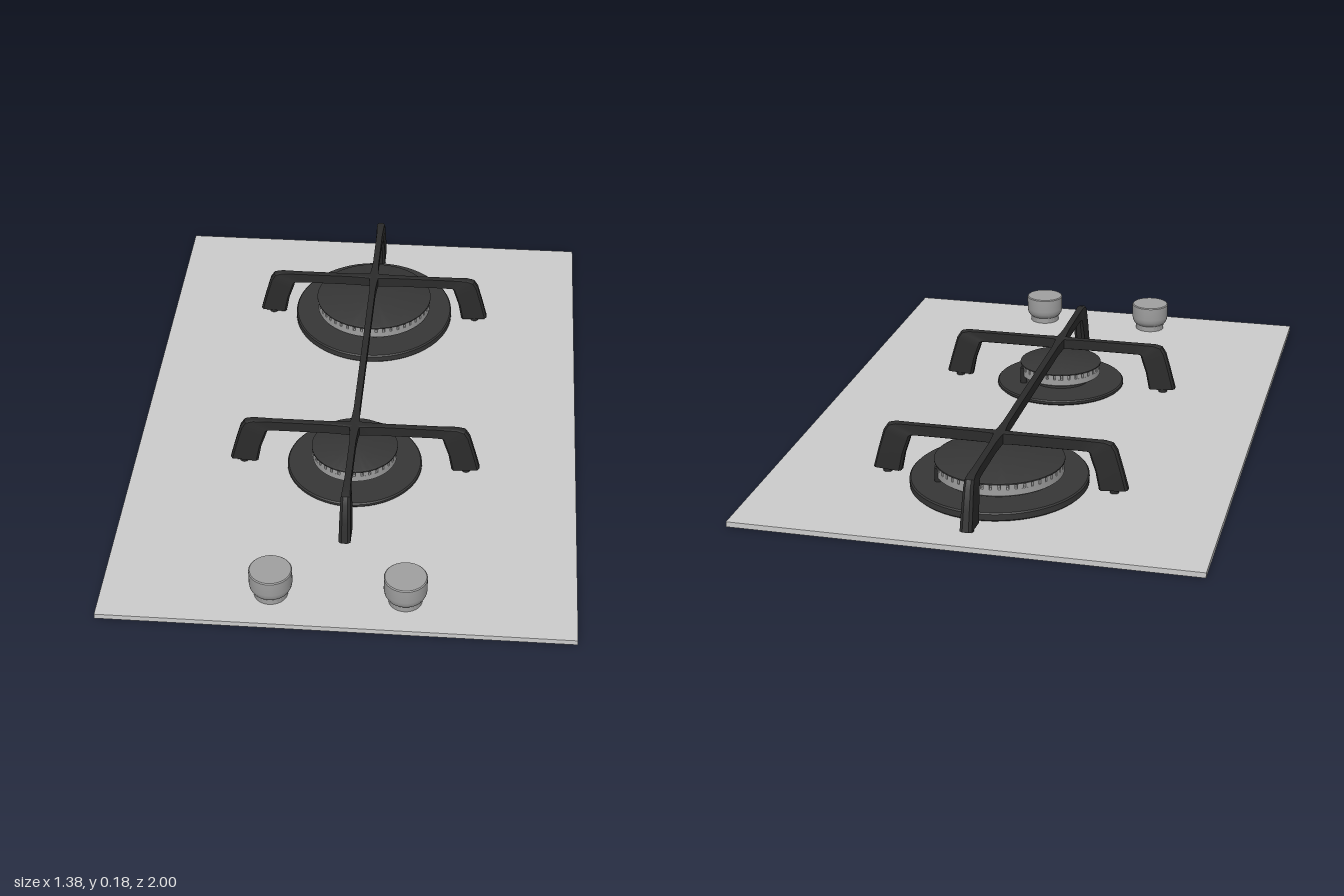
import * as THREE from 'three';
import { toCreasedNormals } from 'three/addons/utils/BufferGeometryUtils.js';

const mat = (color) => new THREE.MeshStandardMaterial({ color });
const steel = mat(0xcccccc), satin = mat(0xa0a0a0), black = mat(0x363636), iron = mat(0x2b2b2b);

function add(parent, name, geometry, material, x = 0, y = 0, z = 0) {
  const mesh = new THREE.Mesh(geometry, material);
  mesh.name = name;
  mesh.position.set(x, y, z);
  parent.add(mesh);
  return mesh;
}

function turned(points, segments = 64) {
  const profile = points.map(([r, y]) => new THREE.Vector2(r, y));
  return toCreasedNormals(new THREE.LatheGeometry(profile, segments), 0.6);
}

// Chamfered bar lofted along +x; station = [outer x, outer y, inner x, inner y, half width]
const SECTION = [[1, -0.5], [1, 0.5], [0.85, 1], [-0.85, 1], [-1, 0.5], [-1, -0.5], [-0.85, -1], [0.85, -1]];
function loftBar(stations) {
  const pos = [], idx = [], n = SECTION.length;
  for (const [ox, oy, ix, iy, w] of stations) {
    for (const [u, v] of SECTION) {
      pos.push((ox + ix) / 2 + u * (ox - ix) / 2, (oy + iy) / 2 + u * (oy - iy) / 2, v * w);
    }
  }
  for (let i = 0; i < stations.length - 1; i++) {
    for (let j = 0; j < n; j++) {
      const k = (j + 1) % n, a = i * n + j, b = i * n + k;
      idx.push(a, b, b + n, a, b + n, a + n);
    }
  }
  const last = (stations.length - 1) * n;
  for (let j = 1; j < n - 1; j++) {
    idx.push(last, last + j, last + j + 1, 0, j + 1, j);
  }
  const g = new THREE.BufferGeometry();
  g.setAttribute('position', new THREE.Float32BufferAttribute(pos, 3));
  g.setIndex(idx);
  return toCreasedNormals(g, 0.6);
}

// Toothed flame ring
function toothedRing(r, teeth, height) {
  const shape = new THREE.Shape();
  const step = Math.PI * 2 / teeth;
  for (let i = 0; i < teeth; i++) {
    [[0, r], [0.7, r], [0.72, r * 0.92], [0.98, r * 0.92]].forEach(([f, rad], k) => {
      const a = (i + f) * step;
      shape[i + k === 0 ? 'moveTo' : 'lineTo'](rad * Math.cos(a), rad * Math.sin(a));
    });
  }
  shape.closePath();
  const g = new THREE.ExtrudeGeometry(shape, { depth: height, bevelEnabled: false });
  return g.rotateX(-Math.PI / 2);
}

function burner(name, z, baseR, baseTop, stretch, neckR, crownR, teeth) {
  const g = new THREE.Group();
  g.name = name;
  g.position.z = z;
  const base = add(g, 'burnerBase', turned([[baseR - 0.006, 0.015], [baseR, 0.021],
    [baseR, baseTop - 0.004], [baseR - 0.004, baseTop], [0, baseTop]]), black);
  base.scale.z = stretch;
  add(g, 'burnerNeck', new THREE.CylinderGeometry(neckR, neckR, 0.03, 48), black, 0, 0.04, 0);
  add(g, 'burnerCrown', turned([[0, 0.05], [crownR - 0.008, 0.05], [crownR, 0.056],
    [crownR, 0.075], [0, 0.075]]), satin);
  add(g, 'flameTeeth', toothedRing(crownR, teeth, 0.016), satin, 0, 0.075, 0);
  add(g, 'burnerCap', turned([[0, 0.09], [crownR + 0.002, 0.09], [crownR + 0.002, 0.094],
    [crownR - 0.004, 0.097], [0, 0.098]]), black);
  // Spark pin beside the crown
  add(g, 'igniter', new THREE.CylinderGeometry(0.011, 0.011, 0.06, 16), iron,
    crownR * 0.84, 0.055, -crownR * 0.5);
  return g;
}

export function createModel() {
  const model = new THREE.Group();
  model.name = 'gasHob';

  add(model, 'topPlate', new THREE.BoxGeometry(1.38, 0.016, 2), steel, 0, 0.008, 0);

  const rearZ = -0.55, frontZ = 0.27;
  model.add(burner('rearBurner', rearZ, 0.267, 0.043, 1.06, 0.17, 0.193, 48));
  model.add(burner('frontBurner', frontZ, 0.21, 0.032, 1, 0.097, 0.132, 34));

  // Control knobs
  const knob = turned([[0.049, 0.015], [0.049, 0.034], [0.056, 0.04], [0.061, 0.05], [0.063, 0.062],
    [0.063, 0.105], [0.06, 0.108], [0, 0.108]], 48);
  for (const s of [-1, 1]) add(model, s > 0 ? 'leftKnob' : 'rightKnob', knob, satin, s * 0.195, 0, 0.872);

  // Pan support: three bent arms per burner, joined by a long bar
  const L = 0.39, top = 0.178, low = 0.14;
  const arm = loftBar([
    [0, top, 0, low, 0.017], [0.03, top, 0.03, low, 0.013], [0.08, top, 0.08, low, 0.01],
    [L - 0.13, top, L - 0.15, low, 0.01], [L - 0.07, top, L - 0.122, low, 0.012],
    [L - 0.047, 0.172, L - 0.117, 0.137, 0.014], [L - 0.034, 0.152, L - 0.112, 0.12, 0.015],
    [L - 0.016, 0.09, L - 0.098, 0.08, 0.017], [L, 0.03, L - 0.087, 0.024, 0.018],
  ]);
  const pad = new THREE.CylinderGeometry(0.014, 0.014, 0.032, 16);
  const grate = new THREE.Group();
  grate.name = 'panSupport';
  model.add(grate);
  for (const [z, along] of [[rearZ, Math.PI / 2], [frontZ, -Math.PI / 2]]) {
    for (const angle of [0, Math.PI, along]) {
      const g = new THREE.Group();
      g.name = 'supportArm';
      g.position.z = z;
      g.rotation.y = angle;
      add(g, 'armBar', arm, iron);
      add(g, 'footPad', pad, iron, L - 0.042, 0.0155, 0);
      grate.add(g);
    }
  }
  const span = frontZ - rearZ;
  const link = [[0, 0.017], [0.03, 0.013], [0.08, 0.01], [span - 0.08, 0.01], [span - 0.03, 0.013], [span, 0.017]];
  const bar = add(grate, 'linkBar', loftBar(link.map(([x, w]) => [x, top, x, low, w])), iron, 0, 0, rearZ);
  bar.rotation.y = -Math.PI / 2;

  return model;
}
